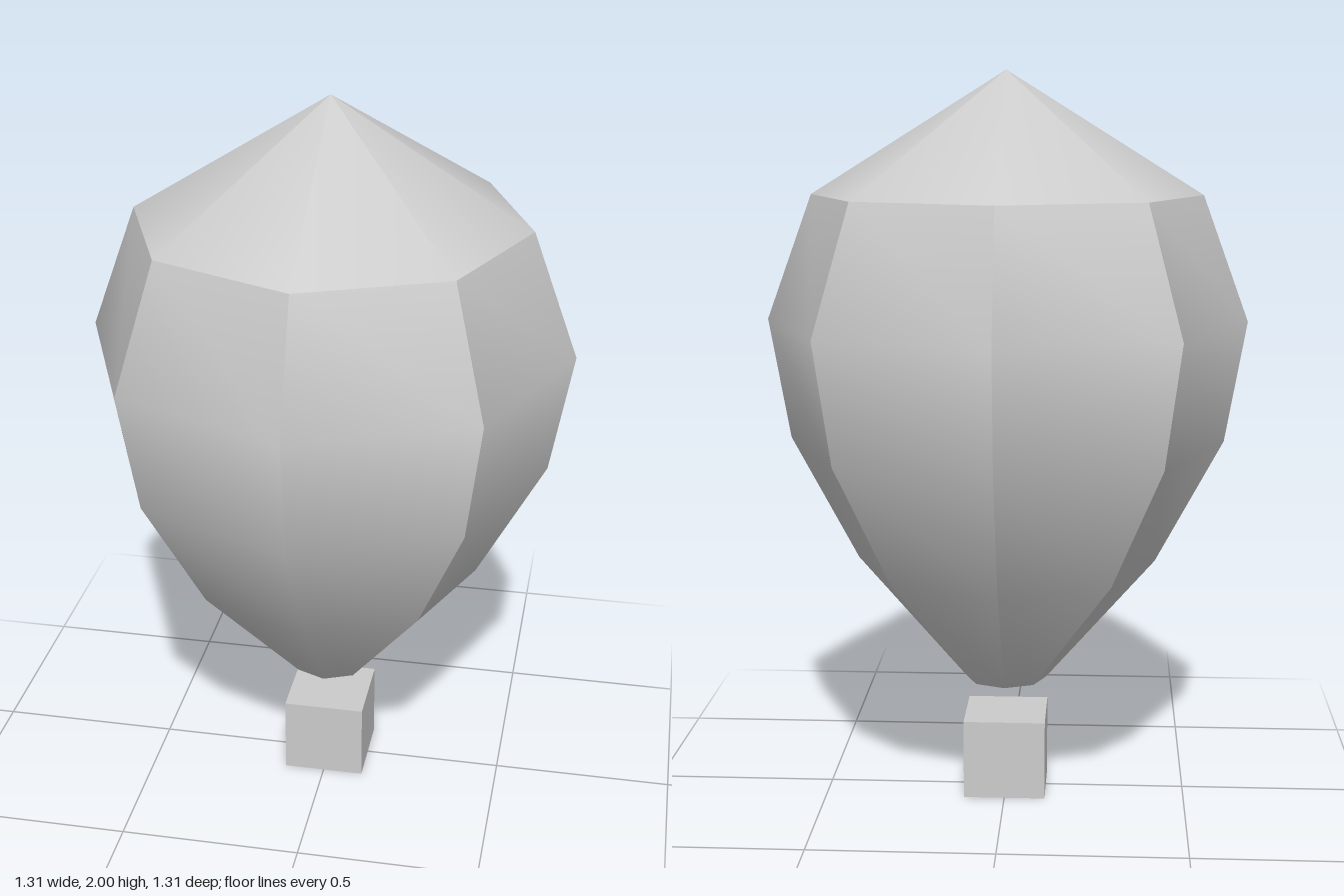
import * as THREE from 'three';
import { toCreasedNormals } from 'three/addons/utils/BufferGeometryUtils.js';

export function createModel() {
  const group = new THREE.Group();
  const material = new THREE.MeshStandardMaterial({ color: 0xcccccc });

  const addPart = (name, geometry, y = 0) => {
    const mesh = new THREE.Mesh(geometry, material);
    mesh.name = name;
    mesh.position.y = y;
    group.add(mesh);
  };

  // Eight-sided envelope: closed mouth, swelling gores, pointed crown.
  // The gores keep sharp vertical seams but shade smoothly along their height.
  const profile = [
    [0, 0.32], [0.113, 0.32], [0.413, 0.66], [0.597, 1],
    [0.655, 1.33], [0.53, 1.67], [0, 2],
  ].map(([radius, y]) => new THREE.Vector2(radius, y));
  const envelope = new THREE.LatheGeometry(profile, 8);
  addPart('envelope', toCreasedNormals(envelope, THREE.MathUtils.degToRad(31)));

  // Basket hanging free below the mouth
  addPart('basket', new THREE.BoxGeometry(0.226, 0.22, 0.226), 0.11);

  return group;
}
